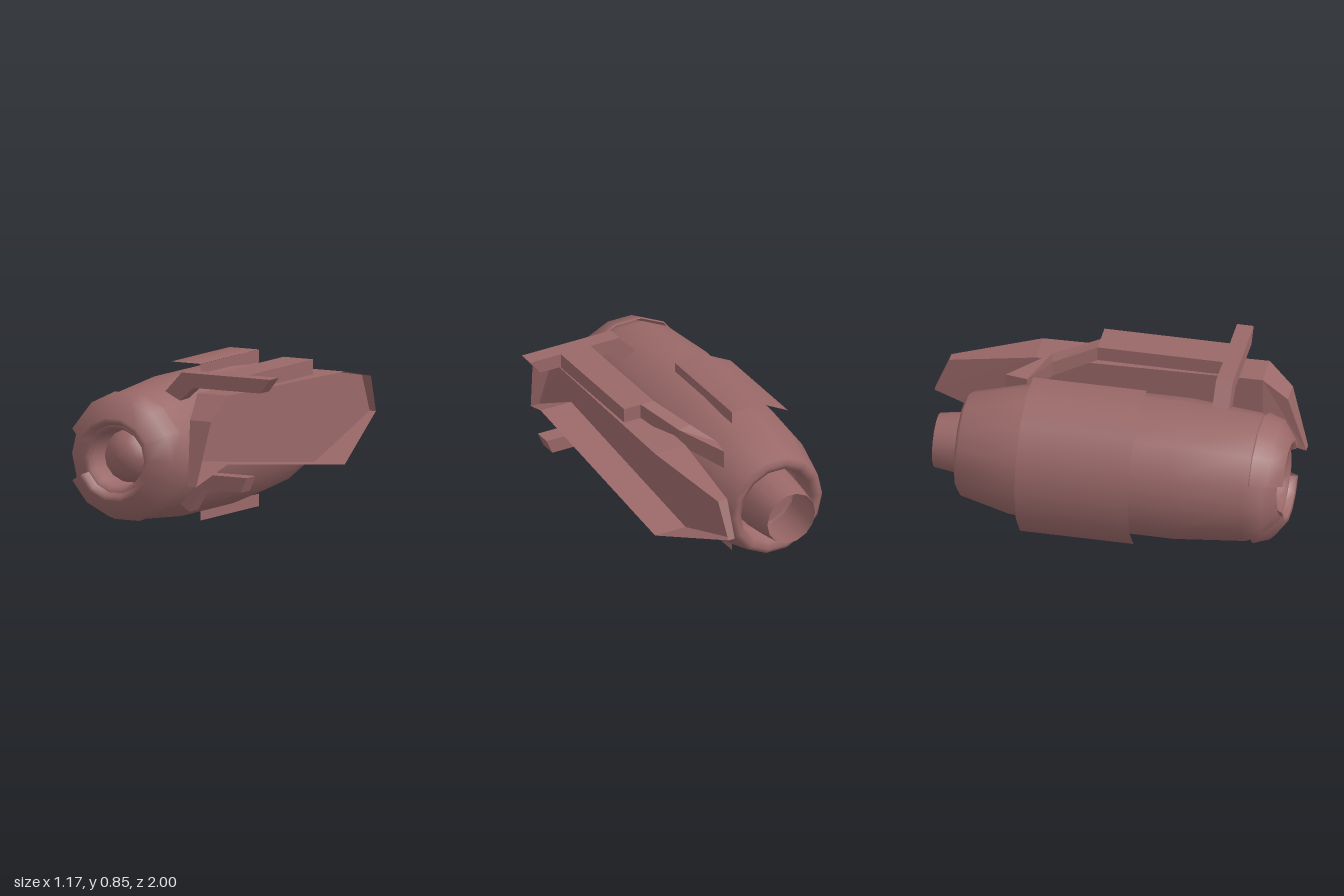
import * as THREE from 'three';

const SIDES = 14, STEP = (Math.PI * 2) / SIDES;
const CX = -0.175, CY = 0.42;

export function createModel() {
  const model = new THREE.Group();
  const color = 0x9a6868;
  const solid = new THREE.MeshStandardMaterial({ color });
  const thin = new THREE.MeshStandardMaterial({ color, side: THREE.DoubleSide });

  const add = (name, geometry, material = solid) => {
    const mesh = new THREE.Mesh(geometry, material);
    mesh.name = name;
    model.add(mesh);
    return mesh;
  };

  // Turned part along z: profile of [radius, z], optional range of 14ths
  const turned = (name, profile, first = 0, count = SIDES, material = thin) => {
    const g = new THREE.LatheGeometry(profile.map(([r, z]) => new THREE.Vector2(r, z)),
      count, Math.PI / 2 + first * STEP, count * STEP);
    g.rotateX(Math.PI / 2);
    const mesh = add(name, g, material);
    mesh.position.set(CX, CY, 0);
    return mesh;
  };

  // Faceted surface from quads of [x, y, z] corners, counter-clockwise from outside
  const quads = (list) => {
    const p = [];
    for (const [a, b, c, d] of list) p.push(...a, ...b, ...c, ...a, ...c, ...d);
    const g = new THREE.BufferGeometry();
    g.setAttribute('position', new THREE.Float32BufferAttribute(p, 3));
    g.computeVertexNormals();
    return g;
  };

  // Front outline [x, y] extruded from z0 to z1
  const slab = (name, outline, z0, z1) => {
    const shape = new THREE.Shape(outline.map(([x, y]) => new THREE.Vector2(x, y)));
    const g = new THREE.ExtrudeGeometry(shape, { depth: z1 - z0, bevelEnabled: false });
    g.translate(0, 0, z0);
    return add(name, g);
  };

  // Engine body, with the rear recess and the intake lip
  turned('engineBody', [
    [0.16, -0.62], [0.2, -0.63], [0.215, -0.74], [0.25, -0.76], [0.278, -0.74],
    [0.345, -0.47], [0.374, -0.12], [0.375, 0.42], [0.342, 0.8], [0.305, 0.9],
    [0.2, 0.965], [0.17, 0.96], [0.155, 0.93], [0.147, 0.78],
  ]);

  // Exhaust nozzle, with a closed inner end
  turned('exhaustNozzle', [[0.145, -0.9], [0.165, -0.76], [0.178, -0.62]]);
  turned('nozzleBack', [[0.178, -0.62], [0, -0.62]]);

  // Intake dome
  const dome = [];
  for (let i = 0; i <= 8; i++) {
    const a = (i / 8) * Math.PI / 2;
    dome.push([0.147 * Math.cos(a), 0.79 + 0.147 * Math.sin(a)]);
  }
  turned('intakeDome', dome);

  // Upper and lower intake cowls
  const cowl = [[0.343, 0.835], [0.348, 0.845], [0.318, 0.93], [0.225, 1], [0.2, 0.995], [0.183, 0.96]];
  turned('upperCowl', cowl, 1, 5);
  turned('lowerCowl', cowl, 8, 5);

  // Open armour band around the outer side
  const band = turned('armourBand', [[0.428, -0.4], [0.428, 0.21]], 3, 8, solid);
  band.position.x = -0.19;
  band.scale.x = 0.4 / 0.428;
  const edge = (y0, y1) => [[-0.1, y0, 0.21], [-0.1, y0, -0.4], [-0.1, y1, -0.4], [-0.1, y1, 0.21]];
  add('bandEdges', quads([edge(0.77, 0.837), edge(0.003, 0.07)]));

  // Side fin: a plate with a flange all round, open on the outside
  // stations: z, y, inner x, outer x
  const rim = [
    [0.99, 0.31, 0.28, 0.33], [0.9, 0.65, 0.24, 0.368], [0.77, 0.775, 0.21, 0.395],
    [-0.45, 0.75, 0.21, 0.395], [-0.92, 0.66, 0.225, 0.28], [-1, 0.46, 0.225, 0.263],
    [-0.45, 0.255, 0.21, 0.395], [0.77, 0.41, 0.21, 0.395],
  ];
  const inner = rim.map(([z, y, x]) => [x, y, z]);
  const outer = rim.map(([z, y, , x]) => [x, y, z]);
  add('finFlange', quads(rim.map((_, i) => {
    const j = (i + 1) % rim.length;
    return [inner[i], outer[i], outer[j], inner[j]];
  })), thin);
  add('finPlate', quads([
    [inner[0], inner[1], inner[2], inner[7]],
    [inner[2], inner[3], inner[6], inner[7]],
    [inner[3], inner[4], inner[5], inner[6]],
  ]), thin);

  // Cross arms holding the fin
  slab('upperArm', [[0.04, 0.857], [-0.06, 0.75], [0.03, 0.705], [0.11, 0.78],
    [0.52, 0.78], [0.58, 0.857]], 0.555, 0.645);
  slab('lowerArm', [[0.165, 0.33], [0.06, 0.16], [0.11, 0.125], [0.185, 0.25],
    [0.425, 0.25], [0.46, 0.33]], 0.592, 0.685);

  // Beam along the top of the fin
  slab('topBeam', [[0.215, 0.777], [0.395, 0.777], [0.395, 0.857], [0.215, 0.857]], -0.12, 0.56);

  // Rear strut, bending from the beam down to the engine
  // sections: left x, left z, right x, right z, bottom y, top y
  const sections = [
    [0.215, -0.12, 0.295, -0.12, 0.777, 0.857],
    [0.12, -0.34, 0.2, -0.36, 0.71, 0.795],
    [0.03, -0.46, 0.05, -0.58, 0.63, 0.73],
  ].map(([xl, zl, xr, zr, b, t]) => [[xl, b, zl], [xr, b, zr], [xr, t, zr], [xl, t, zl]]);
  const strut = [[...sections[2]].reverse()];
  for (let s = 0; s < 2; s++) {
    for (let k = 0; k < 4; k++) {
      const n = (k + 1) % 4;
      strut.push([sections[s][k], sections[s + 1][k], sections[s + 1][n], sections[s][n]]);
    }
  }
  add('rearStrut', quads(strut), thin);

  return model;
}
